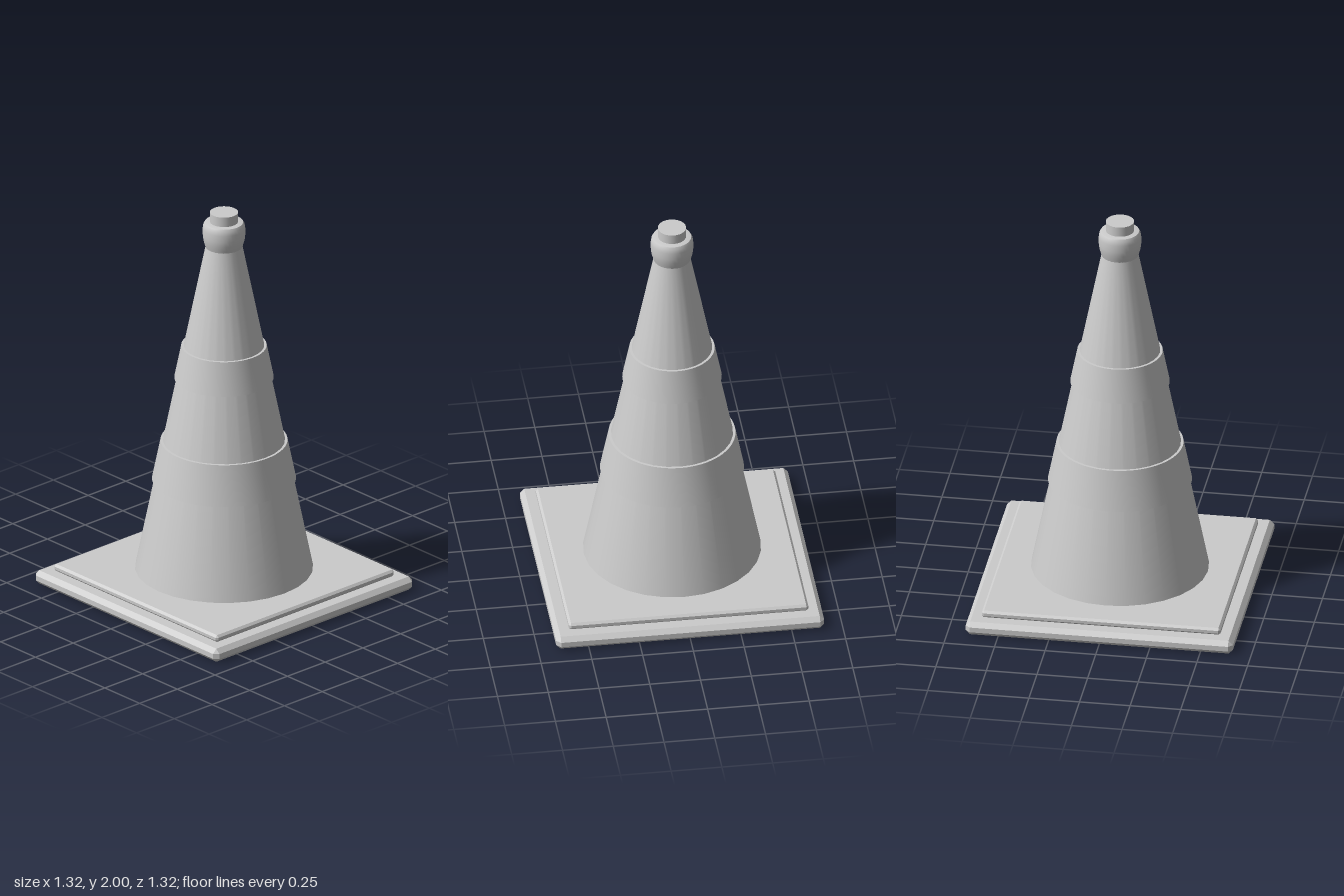
import * as THREE from 'three';
import { ConvexGeometry } from 'three/addons/geometries/ConvexGeometry.js';
import { toCreasedNormals } from 'three/addons/utils/BufferGeometryUtils.js';

const material = new THREE.MeshStandardMaterial({ color: 0xcccccc });

// Square slab with a flat chamfer on every edge
function chamferedSlab(half, y0, y1, c) {
  const points = [];
  const h = (y1 - y0) / 2;
  for (const x of [-1, 1]) for (const y of [-1, 1]) for (const z of [-1, 1]) {
    for (let axis = 0; axis < 3; axis++) {
      const inset = [c, c, c];
      inset[axis] = 0;
      points.push(new THREE.Vector3(
        x * (half - inset[0]), y * (h - inset[1]), z * (half - inset[2])));
    }
  }
  return new ConvexGeometry(points).translate(0, (y0 + y1) / 2, 0);
}

// Turned part from [radius, height] pairs, smooth around and sharp at ridges
function turned(profile, sides) {
  const geometry = new THREE.LatheGeometry(profile.map(([r, y]) => new THREE.Vector2(r, y)), sides);
  return toCreasedNormals(geometry, Math.PI / 5);
}

// Radius of the cone wall at a given height
const wall = (y) => THREE.MathUtils.mapLinear(y, 0.105, 1.82, 0.435, 0.09);

export function createModel() {
  const model = new THREE.Group();
  model.name = 'trafficCone';
  const add = (name, geometry) => {
    const mesh = new THREE.Mesh(geometry, material);
    mesh.name = name;
    model.add(mesh);
  };

  // Stepped square foot
  add('base', chamferedSlab(0.66, 0, 0.07, 0.022));
  add('basePlate', chamferedSlab(0.59, 0.068, 0.105, 0.011));

  // Tapered body
  add('coneBody', turned([[wall(0.1), 0.1], [wall(1.82), 1.82]], 28));

  // Raised sleeves following the taper
  for (const [name, y0, y1] of [['lowerBand', 0.58, 0.785], ['upperBand', 1.12, 1.29]]) {
    const t = 0.012;
    add(name, turned([
      [wall(y0) - 0.01, y0], [wall(y0) + t, y0],
      [wall(y1) + t, y1], [wall(y1) - 0.01, y1],
    ], 56));
  }

  // Rounded collar at the tip
  add('collar', turned([
    [0.088, 1.81], [0.094, 1.83], [0.101, 1.855], [0.104, 1.88], [0.104, 1.915],
    [0.101, 1.935], [0.094, 1.947], [0.078, 1.95], [0, 1.95],
  ], 40));

  // Short plug on top
  add('topPlug', new THREE.CylinderGeometry(0.069, 0.069, 0.07, 32).translate(0, 1.965, 0));

  return model;
}
